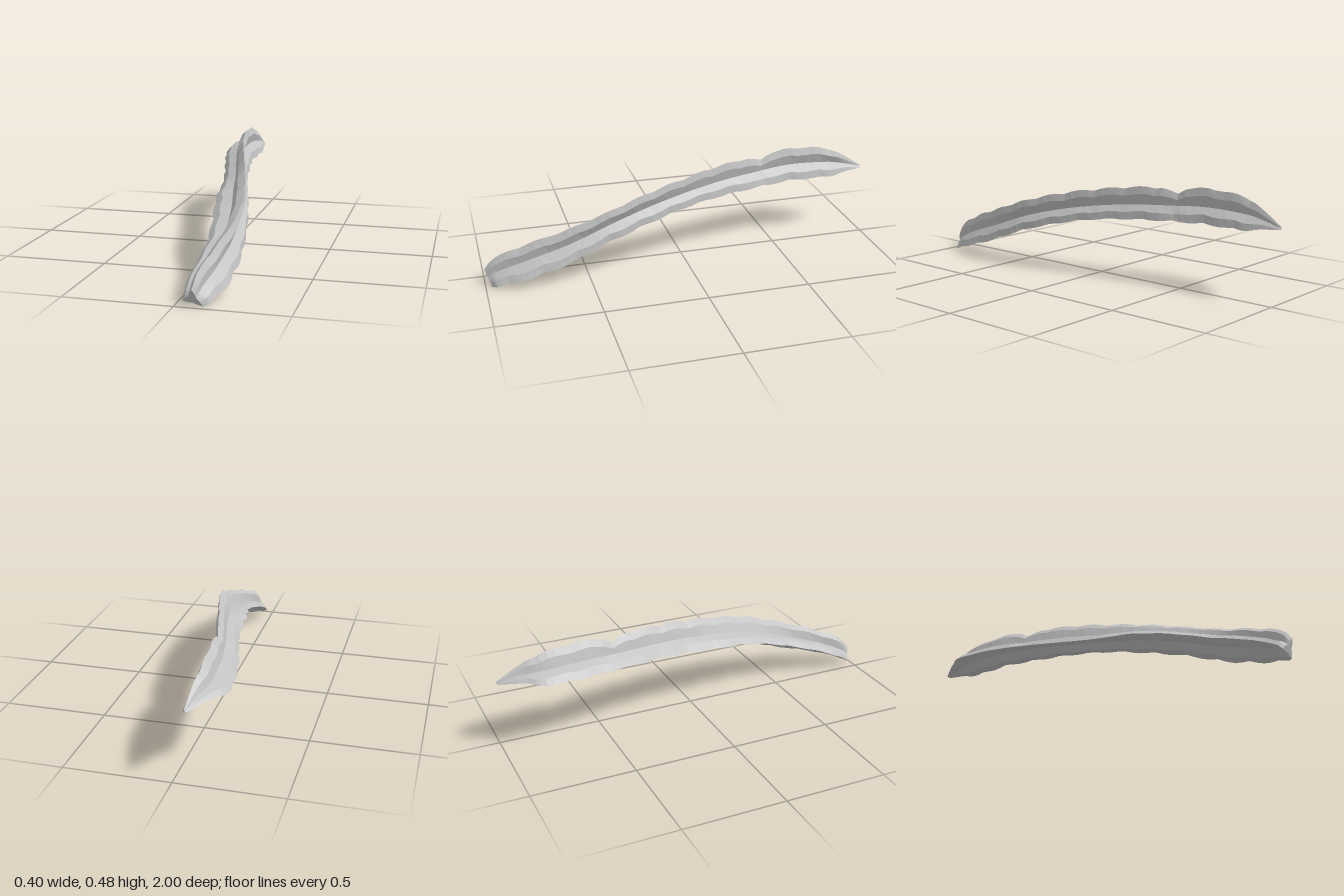
import * as THREE from 'three';

// Ridge crests [x, y, z] of the three wings, from the cut front end to the rear tip
const TOP = [[.08, .08, 1], [.09, .14, .95], [.125, .21, .8], [.158, .278, .6], [.155, .345, .4], [.113, .398, .2],
  [.062, .436, 0], [.008, .463, -.2], [-.038, .474, -.4], [-.066, .488, -.6], [-.076, .468, -.8], [-.068, .42, -.9], [-.06, .358, -1]];
const LEFT = [[.032, .02, .97], [.022, .05, .93], [.026, .11, .8], [.032, .18, .6], [.003, .245, .4], [-.035, .285, .2],
  [-.055, .305, 0], [-.095, .325, -.2], [-.145, .342, -.4], [-.188, .352, -.6], [-.2, .356, -.8], [-.14, .362, -.9], [-.07, .345, -1]];
const RIGHT = [[.12, .002, .97], [.155, .014, .93], [.19, .05, .8], [.195, .11, .6], [.172, .185, .4], [.132, .24, .2],
  [.08, .28, 0], [.032, .3, -.2], [0, .312, -.4], [-.03, .318, -.6], [-.028, .318, -.8], [-.037, .333, -.9], [-.05, .345, -1]];

const STATIONS = 60;
const curves = [TOP, LEFT, RIGHT].map(pts =>
  new THREE.CatmullRomCurve3(pts.map(p => new THREE.Vector3(...p)), false, 'catmullrom', 0.5));

// One cross-section: three thick scalloped crests with hollow flanks between them
function section(t) {
  const crests = curves.map(c => c.getPoint(t));
  const centre = new THREE.Vector3();
  crests.forEach(c => centre.addScaledVector(c, 1 / 3));
  const fade = Math.min(1, t * 12, (1 - t) * 8);
  const tips = crests.map((c, k) => {
    const bump = Math.abs(Math.sin(Math.PI * (c.z / 0.165 + k * 0.3)));
    let scale = 1 - 0.12 * fade * (1 - bump);
    // torn nick in the top wing
    if (k === 0) scale -= 0.34 * Math.exp(-(((c.z + 0.43) / 0.035) ** 2));
    return c.clone().lerp(centre, 1 - scale);
  });
  const ring = [];
  for (let k = 0; k < 3; k++) {
    const a = tips[k], b = tips[(k + 1) % 3];
    const valley = crests[k].clone().lerp(crests[(k + 1) % 3], 0.5).lerp(centre, 0.2 + 0.3 * fade);
    // shoulders keep the wings thick next to their crests
    const shoulder = s => a.clone().lerp(b, s).lerp(centre, -0.05 * fade);
    ring.push(a, shoulder(0.25), valley, shoulder(0.75));
  }
  return { ring, centre };
}

// Skin joining all sections, closed at both ends
function stemGeometry() {
  const pos = [], idx = [], n = 12;
  const sections = [];
  for (let i = 0; i <= STATIONS; i++) {
    sections.push(section(i / STATIONS));
    sections[i].ring.forEach(p => pos.push(p.x, p.y, p.z));
  }
  for (let i = 0; i < STATIONS; i++) {
    for (let j = 0; j < n; j++) {
      const a = i * n + j, b = i * n + (j + 1) % n;
      idx.push(a, a + n, b, b, a + n, b + n);
    }
  }
  const front = pos.length / 3, back = front + 1, last = STATIONS * n;
  for (const s of [sections[0], sections[STATIONS]]) pos.push(s.centre.x, s.centre.y, s.centre.z);
  for (let j = 0; j < n; j++) {
    const k = (j + 1) % n;
    idx.push(front, j, k, back, last + k, last + j);
  }
  const g = new THREE.BufferGeometry();
  g.setAttribute('position', new THREE.Float32BufferAttribute(pos, 3));
  g.setIndex(idx);
  g.computeVertexNormals();
  return g;
}

export function createModel() {
  const group = new THREE.Group();
  group.name = 'cactusStem';
  const grey = new THREE.MeshStandardMaterial({ color: 0xc4c4c4, flatShading: true });
  grey.name = 'pale grey';
  const stem = new THREE.Mesh(stemGeometry(), grey);
  stem.name = 'wingedStem';
  group.add(stem);
  return group;
}
